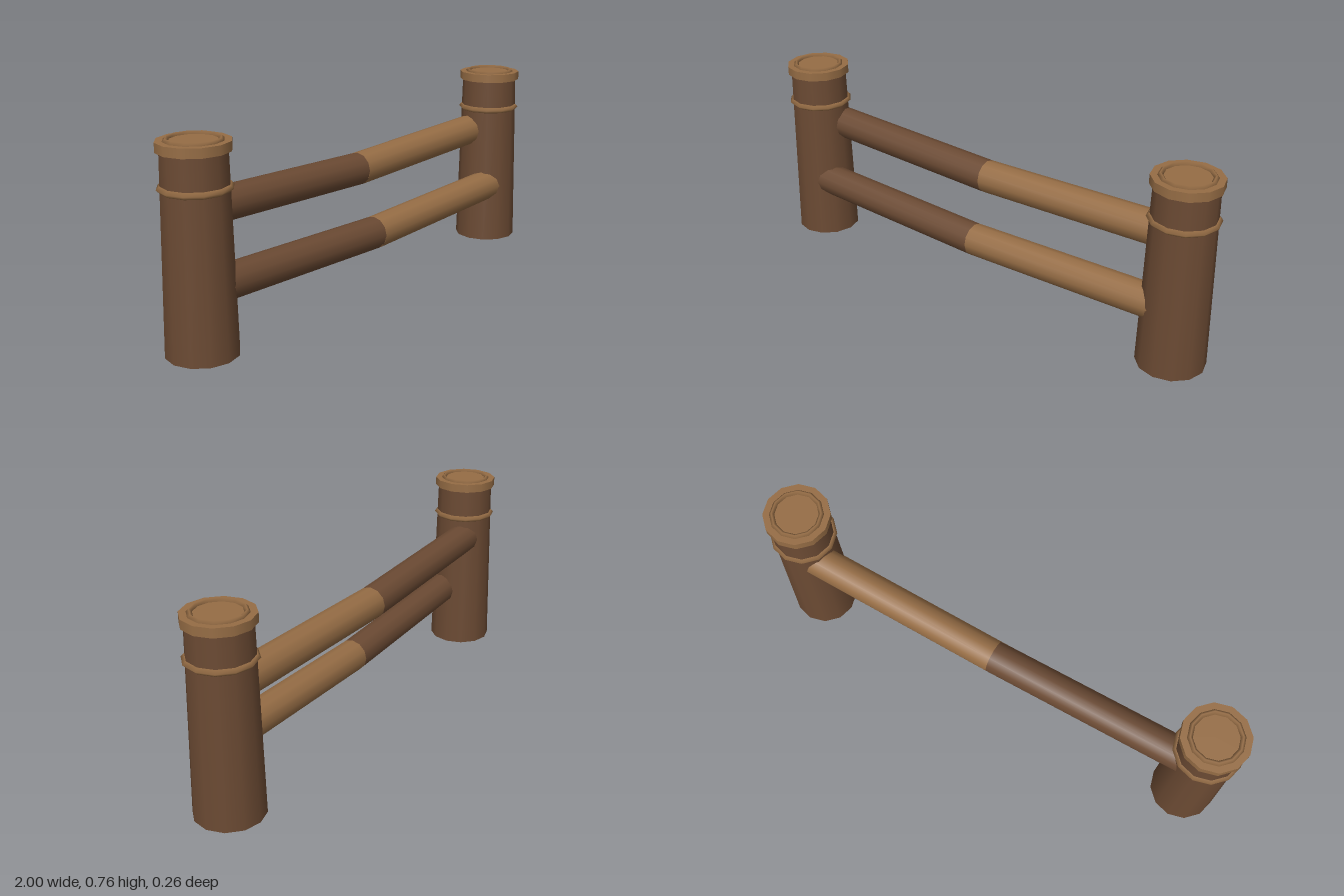
import * as THREE from 'three';

const SIDES = 12;
const POST_X = 0.87;

export function createModel() {
  const darkWood = new THREE.MeshStandardMaterial({ color: 0x6b4a33 });
  darkWood.name = 'dark wood';
  const lightWood = new THREE.MeshStandardMaterial({ color: 0x966d45 });
  lightWood.name = 'light wood';

  const model = new THREE.Group();
  model.name = 'fence';

  const add = (parent, name, geometry, material, y) => {
    const mesh = new THREE.Mesh(geometry, material);
    mesh.name = name;
    mesh.position.y = y;
    parent.add(mesh);
    return mesh;
  };

  // Diamond-section ring lying flat
  const ring = (radius, tube) =>
    new THREE.TorusGeometry(radius, tube, 4, SIDES).rotateX(Math.PI / 2);

  // Tapered post with a band, a cap and a raised ring on top
  const makePost = (name, x) => {
    const post = new THREE.Group();
    post.name = name;
    post.position.x = x;
    add(post, 'postShaft', new THREE.CylinderGeometry(0.115, 0.13, 0.72, SIDES), darkWood, 0.36);
    add(post, 'postBand', ring(0.118, 0.012), lightWood, 0.589);
    add(post, 'postCap', new THREE.CylinderGeometry(0.128, 0.128, 0.034, SIDES), lightWood, 0.73);
    add(post, 'capRing', ring(0.093, 0.01), lightWood, 0.747);
    model.add(post);
  };

  // Half rail sloping from the middle up into a post
  const makeRail = (name, side, yMiddle, yEnd, z, material) => {
    const rise = yEnd - yMiddle;
    const rail = add(model, name,
      new THREE.CylinderGeometry(0.064, 0.064, Math.hypot(POST_X, rise), SIDES),
      material, (yMiddle + yEnd) / 2);
    rail.position.x = side * POST_X / 2;
    rail.position.z = z;
    rail.rotation.z = Math.atan2(rise, POST_X) * side - side * Math.PI / 2;
  };

  for (const [label, side, material] of [['left', 1, lightWood], ['right', -1, darkWood]]) {
    makePost(`${label}Post`, side * POST_X);
    makeRail(`${label}UpperRail`, side, 0.468, 0.495, -0.037, material);
    makeRail(`${label}LowerRail`, side, 0.222, 0.249, 0.046, material);
  }

  return model;
}
